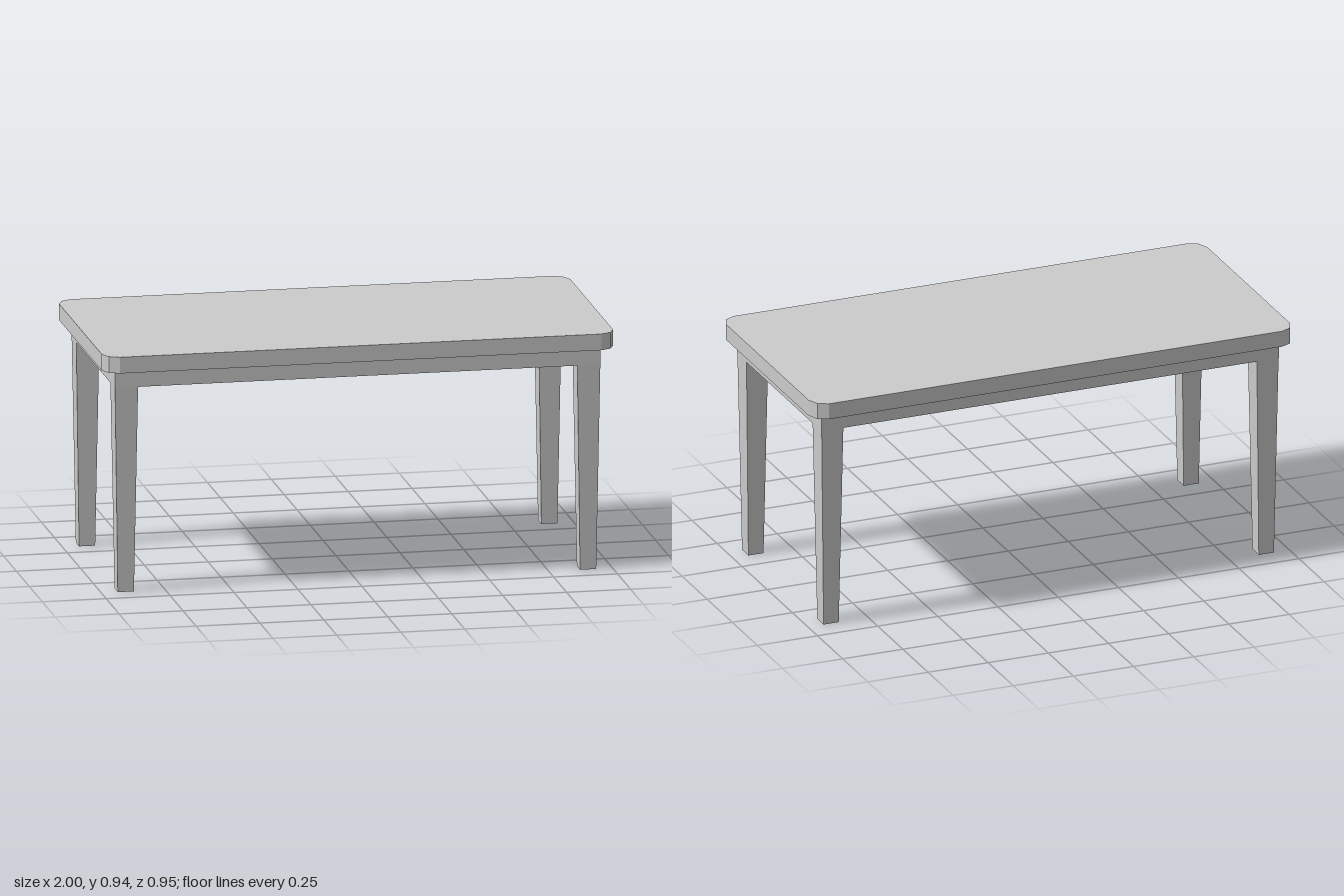
import * as THREE from 'three';

const material = new THREE.MeshStandardMaterial({ color: 0xcccccc, flatShading: true, side: THREE.DoubleSide });

const TOP_Y = 0.944, SLAB_Y = 0.88, APRON_Y = 0.81;

function add(group, name, geometry) {
  const mesh = new THREE.Mesh(geometry, material);
  mesh.name = name;
  group.add(mesh);
  return mesh;
}

// Slab with two-facet chamfered corners
function tabletopGeometry() {
  const corner = [[1, 0.413], [0.981, 0.456], [0.942, 0.475]];
  const back = [...corner].reverse();
  const outline = [
    ...corner,
    ...back.map(([x, y]) => [-x, y]),
    ...corner.map(([x, y]) => [-x, -y]),
    ...back.map(([x, y]) => [x, -y]),
  ].map(([x, y]) => new THREE.Vector2(x, y));
  const geo = new THREE.ExtrudeGeometry(new THREE.Shape(outline), { depth: TOP_Y - SLAB_Y, bevelEnabled: false });
  return geo.rotateX(-Math.PI / 2).translate(0, SLAB_Y, 0);
}

// Square leg, open at both ends, tapering to the foot
function legGeometry() {
  return new THREE.CylinderGeometry(0.09 * Math.SQRT1_2, 0.063 * Math.SQRT1_2, APRON_Y, 4, 1, true)
    .rotateY(Math.PI / 4)
    .translate(0, APRON_Y / 2, 0);
}

export function createModel() {
  const table = new THREE.Group();
  table.name = 'table';

  add(table, 'tabletop', tabletopGeometry());

  // Solid frame beneath the slab
  add(table, 'apron', new THREE.BoxGeometry(1.9, SLAB_Y - APRON_Y, 0.84))
    .position.y = (SLAB_Y + APRON_Y) / 2;

  // Four mirrored legs
  const leg = legGeometry();
  for (const [sx, side] of [[1, 'Left'], [-1, 'Right']]) {
    for (const [sz, end] of [[1, 'front'], [-1, 'back']]) {
      add(table, `${end}${side}Leg`, leg).position.set(sx * 0.904, 0, sz * 0.374);
    }
  }
  return table;
}
